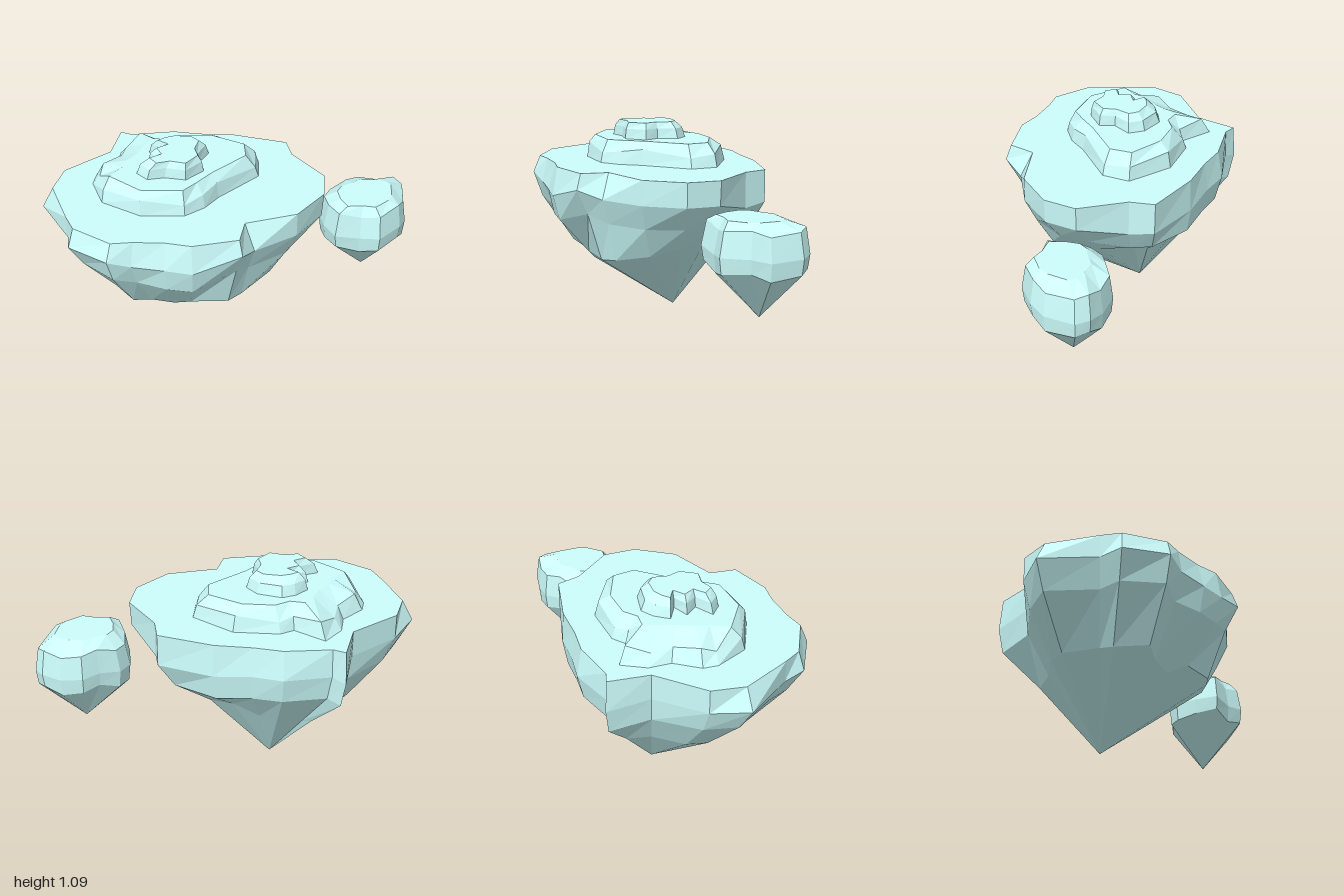
import * as THREE from 'three';

const material = new THREE.MeshStandardMaterial({ color: 0xcdfffe, flatShading: true, roughness: 0.9 });

// Joins rings of [x, y, z] points, listed top to bottom, with a flat cap and an optional bottom tip.
function loft(name, rings, tip) {
  const pos = [];
  const tri = (a, b, c) => pos.push(...a, ...b, ...c);
  const top = rings[0], n = top.length;
  const contour = top.map(p => new THREE.Vector2(p[0], -p[2]));
  for (const [a, b, c] of THREE.ShapeUtils.triangulateShape(contour, [])) tri(top[a], top[b], top[c]);
  for (let r = 0; r < rings.length - 1; r++) {
    const up = rings[r], low = rings[r + 1];
    for (let i = 0; i < n; i++) {
      const j = (i + 1) % n;
      tri(up[i], low[i], up[j]);
      tri(up[j], low[i], low[j]);
    }
  }
  if (tip) {
    const last = rings[rings.length - 1];
    for (let i = 0; i < n; i++) tri(last[i], tip, last[(i + 1) % n]);
  }
  const geometry = new THREE.BufferGeometry();
  geometry.setAttribute('position', new THREE.Float32BufferAttribute(pos, 3));
  geometry.computeVertexNormals();
  const mesh = new THREE.Mesh(geometry, material);
  mesh.name = name;
  return mesh;
}

// Point of an outline scaled towards a centre and set at a height.
const pull = (x, z, c, s, y) => [c[0] + (x - c[0]) * s, y, c[1] + (z - c[1]) * s];

function mainIsland() {
  const tip = [-0.25, 0, -0.15], axis = [-0.25, -0.15], centre = [-0.25, 0];
  // x, z, top scale, rim height, wall scale, low scale, low height
  const rows = [
    [-1.0, 0.05, 0.92, 0.76, 0.89, 0.6, 0.38],
    [-0.83, 0.32, 1.0, 0.75, 0.9, 0.65, 0.38],
    [-0.81, 0.44, 0.95, 0.77, 0.9, 0.65, 0.37],
    [-0.6, 0.58, 0.94, 0.78, 0.94, 0.72, 0.38],
    [-0.48, 0.56, 0.95, 0.74, 0.92, 0.68, 0.35],
    [-0.31, 0.575, 0.93, 0.73, 0.96, 0.65, 0.32],
    [-0.17, 0.59, 0.95, 0.72, 0.95, 0.72, 0.38],
    [0.08, 0.53, 0.95, 0.79, 0.9, 0.77, 0.38],
    [0.14, 0.41, 0.87, 0.74, 0.92, 0.83, 0.385],
    [0.36, 0.27, 1.0, 0.74, 0.91, 0.78, 0.43],
    [0.5, 0.08, 1.01, 0.74, 0.86, 0.7, 0.47],
    [0.51, -0.1, 1.01, 0.74, 0.84, 0.67, 0.48],
    [0.35, -0.32, 1.0, 0.68, 0.86, 0.55, 0.43],
    [0.32, -0.45, 1.0, 0.7, 0.86, 0.55, 0.42],
    [0.03, -0.54, 0.98, 0.7, 0.95, 0.66, 0.46],
    [-0.17, -0.56, 0.96, 0.72, 0.95, 0.58, 0.38],
    [-0.33, -0.59, 0.95, 0.72, 0.93, 0.48, 0.3],
    [-0.57, -0.53, 0.99, 0.72, 0.94, 0.55, 0.34],
    [-0.64, -0.56, 0.98, 0.7, 0.95, 0.58, 0.36],
    [-0.67, -0.33, 1.0, 0.73, 0.96, 0.68, 0.38],
    [-0.9, -0.13, 1.0, 0.74, 0.91, 0.64, 0.38],
  ];
  return loft('mainIsland', [
    rows.map(([x, z, t]) => pull(x, z, centre, t, 0.875)),
    rows.map(([x, z, , y]) => [x, y, z]),
    rows.map(([x, z, , y, w]) => pull(x, z, axis, w, y - 0.14)),
    rows.map(([x, z, , , , s, y]) => pull(x, z, axis, s, y)),
  ], tip);
}

function lowerTerrace() {
  // base x, z, then top x, z
  const rows = [
    [-0.73, 0, -0.56, 0.03], [-0.66, 0.18, -0.62, 0.12], [-0.45, 0.3, -0.45, 0.25],
    [-0.22, 0.295, -0.23, 0.25], [-0.12, 0.22, -0.16, 0.17], [-0.05, 0.12, -0.09, 0.08],
    [0.16, -0.09, 0.09, -0.1], [0.16, -0.24, 0.08, -0.22], [-0.06, -0.385, -0.1, -0.31],
    [-0.3, -0.385, -0.27, -0.31], [-0.37, -0.34, -0.34, -0.26], [-0.53, -0.44, -0.42, -0.27],
    [-0.61, -0.32, -0.46, -0.2], [-0.62, -0.2, -0.49, -0.12], [-0.72, -0.08, -0.54, -0.04],
  ];
  return loft('lowerTerrace', [
    rows.map(([, , x, z]) => [x, 1.0, z]),
    rows.map(([x, z, u, w], i) => [x * 0.75 + u * 0.25, 0.945 + 0.015 * (i % 3 - 1), z * 0.75 + w * 0.25]),
    rows.map(([x, z]) => [x, 0.875, z]),
  ]);
}

function upperTerrace() {
  // base x, z, then top x, z; the notch is on the right side
  const rows = [
    [-0.48, 0.09, -0.41, 0.08], [-0.42, 0.15, -0.37, 0.13], [-0.33, 0.13, -0.3, 0.11],
    [-0.22, 0.15, -0.22, 0.13], [-0.13, 0.06, -0.16, 0.05], [-0.16, -0.02, -0.18, -0.02],
    [-0.11, -0.12, -0.16, -0.1], [-0.17, -0.19, -0.2, -0.14], [-0.3, -0.225, -0.29, -0.15],
    [-0.37, -0.19, -0.34, -0.13], [-0.43, -0.12, -0.38, -0.1], [-0.34, -0.06, -0.32, -0.06],
    [-0.43, -0.03, -0.38, -0.02], [-0.38, 0.04, -0.35, 0.04],
  ];
  return loft('upperTerrace', [
    rows.map(([, , x, z]) => [x, 1.09, z]),
    rows.map(([x, z, u, w]) => [x * 0.7 + u * 0.3, 1.055, z * 0.7 + w * 0.3]),
    rows.map(([x, z]) => [x, 1.0, z]),
  ]);
}

function smallIsland() {
  const axis = [0.77, -0.2], cap = [0.75, -0.1];
  const outline = [
    [0.51, -0.2], [0.53, -0.08], [0.585, 0.04], [0.72, 0.03], [0.83, 0.05], [0.95, -0.06],
    [0.99, -0.15], [1.0, -0.32], [0.95, -0.38], [0.85, -0.4], [0.73, -0.4], [0.65, -0.34], [0.55, -0.28],
  ];
  const ring = (c, s, y, wobble) => outline.map(([x, z], i) => pull(x, z, c, s, y + wobble * (i % 3 - 1)));
  return loft('smallIsland', [
    ring(cap, 0.62, 0.735, 0),
    ring(axis, 0.91, 0.69, 0.015),
    ring(axis, 1.0, 0.56, 0.01),
    ring(axis, 0.96, 0.475, 0.02),
  ], [0.77, 0.215, -0.2]);
}

export function createModel() {
  const group = new THREE.Group();
  group.name = 'floatingIslands';
  group.add(mainIsland(), lowerTerrace(), upperTerrace(), smallIsland());
  return group;
}
